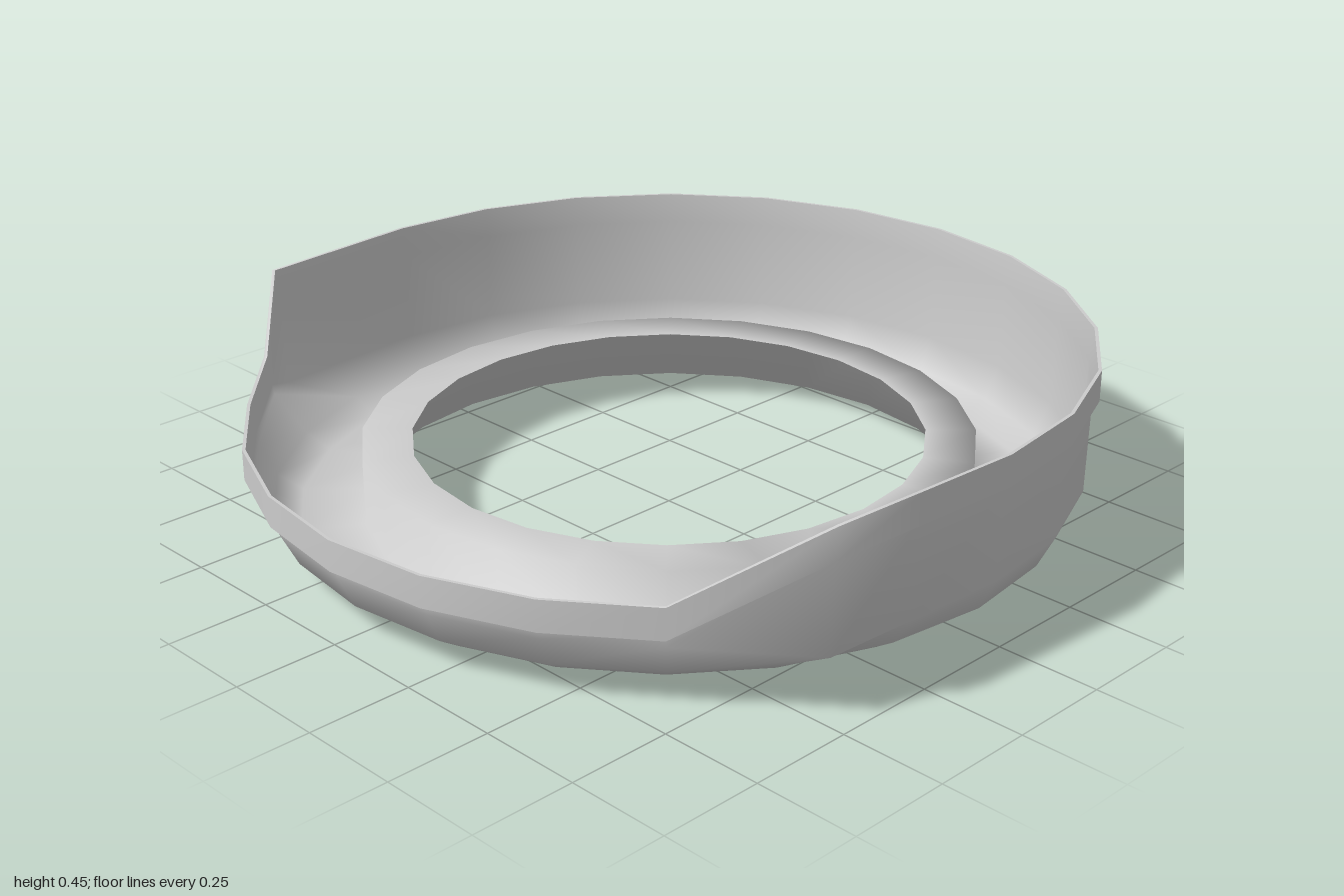
import * as THREE from 'three';

const SIDES = 24;
const HIGH = 0.45, LOW = 0.25, BAND = 0.075;

// Ring of points starting at +x and turning towards +z
const ring = (fn) => Array.from({ length: SIDES }, (_, k) => {
  const a = (k / SIDES) * Math.PI * 2;
  return fn(k, Math.cos(a), Math.sin(a));
});
const circle = (r, y) => ring((k, c, s) => [r * c, y, r * s]);

// Wall outline: round, with pulled-out corners where the rim drops to the front
const corners = { 1: [0.985, 0.26], 2: [0.97, 0.5], 10: [-0.93, 0.5], 11: [-0.97, 0.43] };
const outline = (scale, height) => ring((k, c, s) => {
  const [x, z] = corners[k] || [c, s];
  return [x * scale, height(k), z * scale];
});
const rim = (scale, drop) => outline(scale, (k) => (k >= 3 && k <= 10 ? LOW : HIGH) - drop);

// Double-sided skin over a list of closed rings
function loft(name, rings) {
  const index = [];
  for (let i = 0; i < rings.length - 1; i++) {
    for (let k = 0; k < SIDES; k++) {
      const n = (k + 1) % SIDES;
      const a = i * SIDES + k, b = i * SIDES + n;
      const c = a + SIDES, d = b + SIDES;
      index.push(a, c, b, b, c, d);
    }
  }
  const geometry = new THREE.BufferGeometry();
  geometry.setAttribute('position', new THREE.Float32BufferAttribute(rings.flat(2), 3));
  geometry.setIndex(index);
  geometry.computeVertexNormals();
  const material = new THREE.MeshStandardMaterial({ color: 0xcccccc, side: THREE.DoubleSide });
  const mesh = new THREE.Mesh(geometry, material);
  mesh.name = name;
  return mesh;
}

export function createModel() {
  const group = new THREE.Group();
  group.name = 'ringTray';

  // Raised step around the hole, with one point of its edge folded down
  const stepEdge = circle(0.73, 0.19);
  stepEdge[1][1] = 0;

  // Thin dish: step, flat floor, rounded corner and outer wall
  group.add(loft('dish', [
    circle(0.61, 0.19), stepEdge, circle(0.73, 0.03), circle(0.88, 0.03), circle(0.94, 0.07),
    outline(0.98, () => 0.15), rim(0.984, BAND), rim(0.992, 0),
  ]));

  // Rim band around the wall, one skin per face for sharp edges
  const band = new THREE.Group();
  band.name = 'rimBand';
  band.add(
    loft('rimUnderside', [rim(0.984, BAND), rim(1, BAND)]),
    loft('rimOuterFace', [rim(1, BAND), rim(1, 0)]),
    loft('rimTop', [rim(1, 0), rim(0.992, 0)]),
  );
  group.add(band);

  return group;
}
